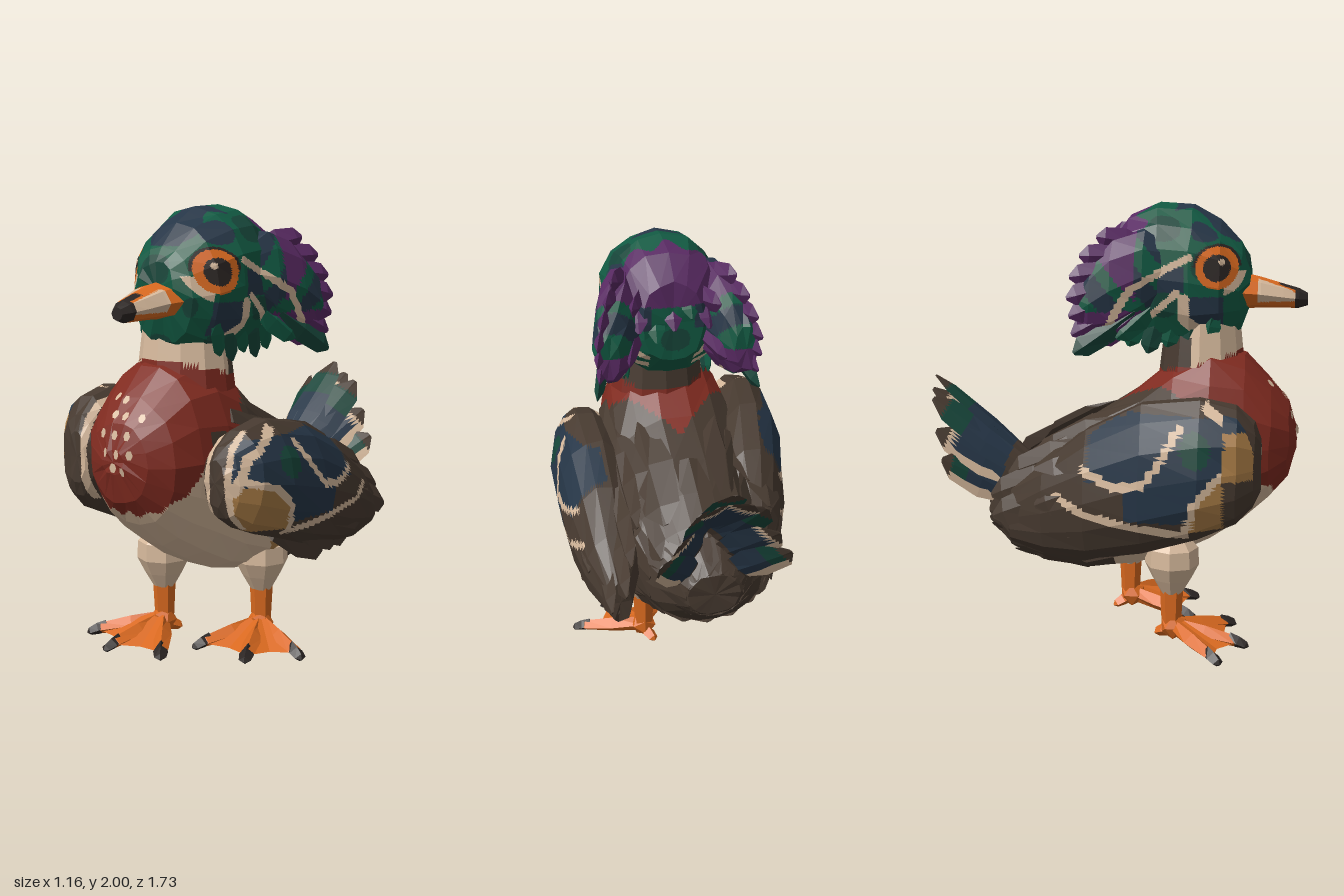
import * as THREE from 'three';

const MATS = Object.entries({ orange: 0xd9691f, green: 0x125a43, navy: 0x263647, brown: 0x473a30, purple: 0x592a63, red: 0x802b20,
  cream: 0xd6b99c, gold: 0xa87b45, charcoal: 0x2c2624, deepGreen: 0x17463a,
}).map(([name, color]) => Object.assign(new THREE.MeshStandardMaterial({ color }), { name }));
const [ORANGE, GREEN, NAVY, BROWN, PURPLE, RED, CREAM, GOLD, CHARCOAL, DEEP] = MATS.keys();
const V = (x, y, z) => new THREE.Vector3(x, y, z);
const group = (parent, name) => parent.add(Object.assign(new THREE.Group(), { name })).children.at(-1);
let seed = 7;
const rand = () => ((seed = (seed * 16807) % 2147483647) / 2147483647) - 0.5;

// Closed skin over elliptical sections [cx, cy, z, rx, ry] listed from front to back
function loft(st, seg, power = 1, jitter = 0) {
  const pos = [], idx = [], p = v => Math.sign(v) * Math.abs(v) ** power;
  for (const [cx, cy, z, rx, ry] of st) for (let i = 0; i < seg; i++) {
    const a = (i / seg) * Math.PI * 2;
    pos.push(cx + rx * p(Math.cos(a)) + rand() * jitter, cy + ry * p(Math.sin(a)) + rand() * jitter, z + rand() * jitter);
  }
  const end = st.length * seg, last = end - seg;
  pos.push(...st[0].slice(0, 3), ...st.at(-1).slice(0, 3));
  for (let i = 0; i < seg; i++) {
    const k = (i + 1) % seg;
    for (let j = 0; j < last; j += seg) idx.push(j + i, j + i + seg, j + k, j + k, j + i + seg, j + k + seg);
    idx.push(end, i, k, end + 1, last + k, last + i);
  }
  return new THREE.BufferGeometry().setAttribute('position', new THREE.Float32BufferAttribute(pos, 3)).setIndex(idx);
}

// Flat-faceted mesh; each facet is cut into 4^cuts pieces, coloured by rule(x, y, z)
function paint(parent, name, geo, rule, cuts = 0) {
  const at = (geo.index ? geo.toNonIndexed() : geo).attributes.position, bins = MATS.map(() => []);
  const add = (a, b, c, k) => {
    if (k > 0) {
      const [ab, bc, ca] = [[a, b], [b, c], [c, a]].map(([p, q]) => p.clone().lerp(q, 0.5));
      for (const tri of [[a, ab, ca], [ab, b, bc], [ca, bc, c], [ab, bc, ca]]) add(...tri, k - 1);
      return;
    }
    const m = typeof rule === 'number' ? rule : rule((a.x + b.x + c.x) / 3, (a.y + b.y + c.y) / 3, (a.z + b.z + c.z) / 3);
    for (const v of [a, b, c]) bins[m].push(v.x, v.y, v.z);
  };
  for (let i = 0; i < at.count; i += 3) add(...[0, 1, 2].map(k => V().fromBufferAttribute(at, i + k)), cuts);
  const g = new THREE.BufferGeometry().setAttribute('position', new THREE.Float32BufferAttribute(bins.flat(), 3));
  g.computeVertexNormals();
  let start = 0;
  const used = MATS.filter((_, m) => bins[m].length);
  bins.filter(b => b.length).forEach((b, i) => { g.addGroup(start, b.length / 3, i); start += b.length / 3; });
  const mesh = Object.assign(new THREE.Mesh(g, used.length > 1 ? used : used[0]), { name });
  parent.add(mesh);
  return mesh;
}

// Pointed feather between two points; up is the direction its flat face looks
function feather(parent, name, from, to, w, t, up, rule, cuts = 0) {
  const L = from.distanceTo(to), Z = from.clone().sub(to).normalize(), X = up.clone().cross(Z).normalize();
  const g = loft([[0, 0, 0, w * 0.5, t], [0, 0, -L * 0.45, w, t], [0, 0, -L * 0.85, w * 0.8, t * 0.7], [0, 0, -L, w * 0.15, 0.003]], 4);
  const mesh = paint(parent, name, g, rule, cuts);
  mesh.quaternion.setFromRotationMatrix(new THREE.Matrix4().makeBasis(X, Z.clone().cross(X), Z));
  mesh.position.copy(from);
}

// True when (u, v) lies within w of the polyline
const near = (u, v, pts, w) => pts.slice(1).some(([bu, bv], i) => {
  const [au, av] = pts[i], du = bu - au, dv = bv - av;
  const k = THREE.MathUtils.clamp(((u - au) * du + (v - av) * dv) / (du * du + dv * dv), 0, 1);
  return Math.hypot(u - au - du * k, v - av - dv * k) < w;
});

export function createModel() {
  seed = 7;
  const duck = Object.assign(new THREE.Group(), { name: 'duck' });
  // Body: red breast, cream belly, brown back
  const st = [[0.835, 0.9, 1.0, 0.06], [0.8, 0.77, 1.11, 0.16], [0.72, 0.66, 1.21, 0.24], [0.6, 0.55, 1.33, 0.29], [0.45, 0.45, 1.38, 0.33],
    [0.28, 0.37, 1.3, 0.35], [0.1, 0.32, 1.15, 0.37], [-0.1, 0.3, 1.02, 0.38], [-0.3, 0.32, 0.89, 0.34], [-0.46, 0.38, 0.78, 0.25],
    [-0.58, 0.48, 0.67, 0.12]].map(([z, lo, hi, w]) => [0, (lo + hi) / 2, z, w, (hi - lo) / 2]);
  const body = paint(duck, 'body', loft(st, 18, 0.93, 0.012), (x, y, z) => {
    const edge = (z > 0.55 ? Math.min(1.05, 0.72 + Math.max(0, 0.75 - z) * 1.1) : 1.05) + 0.015 * Math.sin(x * 70);
    if (y > edge && z > 0.02 + Math.abs(x) * 1.1) return RED;
    if (z < 0.03 + Math.max(0, y - 0.6) || y > 0.95) return BROWN;
    return Math.hypot(z - 0.07, (y - 0.52) * 0.7) < 0.06 ? GOLD : CREAM;
  }, 3);

  // Breast speckles laid on the surface
  body.updateMatrixWorld();
  const speckles = group(duck, 'breastSpeckles'), ray = new THREE.Raycaster();
  for (let i = 1; i < 14; i++) {
    const r = Math.floor(i / 3), x = -0.07 + (i % 3) * 0.065 + (r % 2) * 0.03 + rand() * 0.02;
    ray.set(V(x, 0.92 + r * 0.07 + rand() * 0.02, 2), V(0, 0, -1));
    const { point, face } = ray.intersectObject(body)[0], dot = paint(speckles, 'speckle', new THREE.CircleGeometry(0.022, 6), CREAM);
    dot.position.copy(point).addScaledVector(face.normal, 0.004);
    dot.lookAt(dot.position.clone().add(face.normal));
    dot.scale.x = 0.75;
  }

  // Rump feathers, and long mantle feathers closing the back to the wings
  const rump = group(duck, 'rumpFeathers');
  for (const j of [7, 8]) for (let i = 0; i < 14; i++) {
    const a = ((i + (j % 2) / 2) / 14) * Math.PI * 2, c = Math.cos(a), s = Math.sin(a);
    const on = (k, f) => V(st[k][3] * c * f, st[k][1] + st[k][4] * s * f, st[k][2]);
    feather(rump, 'rumpFeather', on(j, 0.99), on(j + 2, 1.08), 0.085, 0.014, V(c, s, 0.2), BROWN);
  }
  for (const s of [1, -1]) for (const [x, y, z, tx, ty, tz] of [[0.27, 1.12, 0.42, 0.27, 0.92, -0.2], [0.34, 1.04, 0.3, 0.33, 0.84, -0.32],
    [0.17, 1.1, 0.15, 0.17, 0.84, -0.38]]) feather(rump, 'mantleFeather', V(s * x, y, z), V(s * tx, ty, tz), 0.11, 0.035, V(s * 0.5, 1, 0.2), BROWN);

  // Neck
  paint(duck, 'neck', new THREE.CylinderGeometry(0.17, 0.2, 0.26, 12).scale(1.15, 1, 1).translate(0.03, 1.35, 0.4),
    (x, y, z) => (y < 1.25 + (z - 0.2) * 0.25 ? RED : z > 0.36 ? CREAM : BROWN), 3);

  // Head with painted eyes and face stripes
  const hx = 0.05, head = group(duck, 'head');
  const stripe1 = [[0.35, 1.77], [0.245, 1.72], [0.095, 1.63], [-0.02, 1.43]], stripe2 = [[0.3, 1.62], [0.19, 1.52], [0, 1.42], [-0.13, 1.36]];
  paint(head, 'skull', loft([[hx, 1.655, 0.61, 0.1, 0.11], [hx, 1.625, 0.57, 0.165, 0.2], [hx, 1.64, 0.48, 0.235, 0.28], [hx, 1.66, 0.35, 0.275, 0.325],
    [hx, 1.68, 0.2, 0.275, 0.32], [hx, 1.67, 0.07, 0.24, 0.28], [hx, 1.65, -0.02, 0.14, 0.18]], 16, 0.9, 0.014), (x, y, z) => {
    const dx = Math.abs(x - hx), e = Math.hypot(z - 0.47, y - 1.725);
    if (dx > 0.1) {
      if (Math.hypot(z - 0.49, y - 1.75) < 0.014) return CREAM;
      if (e < 0.058) return CHARCOAL;
      if (e < 0.092) return ORANGE;
      if (e < 0.103 && y > 1.73) return CHARCOAL;
      if (e < 0.125 && z > 0.5 && y < 1.71) return CREAM;
      if (near(z, y, [[0.4, 1.44], [0.33, 1.5], [0.33, 1.59]], 0.025) || near(z, y, stripe1, 0.016) || near(z, y, stripe2, 0.015)) return CREAM;
      if ((z > 0.35 && z < 0.5 && y < 1.6 && y > 1.46) || (z < 0.33 && y < 1.73 && y > 1.62)) return NAVY;
    }
    if (z < 0.13 + 0.03 * Math.sin(x * 40) && y > 1.72) return PURPLE;
    if (y > 1.83 && z > 0.28 && dx < 0.1 + 0.03 * Math.sin(z * 30)) return NAVY;
    const n = Math.sin(x * 15 + 1) * Math.sin(y * 19) * Math.sin(z * 16 + 1);
    return y > 1.8 && n > 0.3 ? NAVY : n < -0.35 ? DEEP : GREEN;
  }, 4);

  // Bill
  paint(head, 'bill', loft([[0.07, 1.57, 0.87, 0.03, 0.028], [0.065, 1.575, 0.83, 0.055, 0.045], [0.06, 1.585, 0.76, 0.08, 0.055],
    [hx, 1.6, 0.66, 0.11, 0.07], [hx, 1.61, 0.55, 0.145, 0.085]], 8), (x, y, z) => {
    const dx = Math.abs(x - 0.06);
    if (z > 0.81 || (z > 0.74 && dx < 0.03 && y > 1.58)) return CHARCOAL;
    return z > 0.65 && y > 1.565 && dx > 0.045 ? CREAM : ORANGE;
  }, 3);

  // Crest: a lobe of swept feathers on each side, jaw tufts and a tuft on the nape
  for (const s of [1, -1]) {
    const lobe = group(head, s > 0 ? 'leftCrest' : 'rightCrest'), X = d => hx + s * d;
    paint(lobe, 'crestLobe', loft([[X(0.19), 1.72, 0.28, 0.06, 0.1], [X(0.21), 1.69, 0.15, 0.1, 0.21], [X(0.245), 1.63, 0.02, 0.11, 0.22],
      [X(0.285), 1.58, -0.08, 0.085, 0.17], [X(0.31), 1.54, -0.13, 0.05, 0.1]], 10, 1, 0.015), (x, y, z) => {
      if ((x - hx) * s > 0.22 && (near(z, y, stripe1, 0.016) || near(z, y, stripe2, 0.015))) return CREAM;
      if ((z < 0.12 && y > 1.72 - z * 1.2) || (z < 0.2 && y > 1.42 && y < 1.54)) return PURPLE;
      return y > 1.43 && Math.sin(z * 30 + y * 25) > 0 ? NAVY : GREEN;
    }, 3);
    for (const [x, y, z, m] of [[0.28, 1.86, -0.05, PURPLE], [0.32, 1.78, -0.12, PURPLE], [0.35, 1.69, -0.16, PURPLE], [0.37, 1.6, -0.17, PURPLE],
      [0.37, 1.52, -0.16, PURPLE], [0.2, 1.74, -0.09, PURPLE], [0.36, 1.44, -0.15, PURPLE], [0.37, 1.36, -0.14, DEEP], [0.22, 1.5, -0.12, PURPLE],
      [0.33, 1.4, -0.04, PURPLE], [0.31, 1.42, 0.04, GREEN]])
      feather(lobe, 'crestFeather', V(X(x - 0.1), y * 0.55 + 0.79, z * 0.5 + 0.18), V(X(x), y, z), 0.06, 0.03, V(s, 0.1, 0.3), m);
    for (let i = 0; i < 5; i++) feather(lobe, 'jawFeather', V(X(0.2), 1.55, 0.46 - i * 0.08), V(X(0.19), 1.37 - (i % 2) * 0.03, 0.42 - i * 0.085),
      0.05, 0.02, V(s, 0, 0), i % 2 ? DEEP : GREEN);
  }
  for (let i = -2; i <= 2; i++) feather(head, 'napeFeather', V(hx + i * 0.07, 1.92 - Math.abs(i) * 0.02, 0.13),
    V(hx + i * 0.08, 1.62 - (i % 2) * 0.05, -0.05), 0.05, 0.02, V(i * 0.2, 0.4, -1), i % 2 ? GREEN : PURPLE);

  // Wings: the right one is held fuller, further forward and closer to the tail
  const bars = [[[0.6, 0.83], [0.55, 0.98], [0.38, 1.08]], [[0.56, 0.88], [0.43, 0.84], [0.34, 0.75], [0.3, 0.62]],
    [[0.27, 1.01], [0.18, 0.88], [0.12, 0.81], [-0.02, 0.79], [-0.15, 0.84]], [[0.3, 0.62], [0.05, 0.65], [-0.15, 0.68], [-0.28, 0.73]]];
  for (const s of [1, -1]) {
    const wing = group(duck, s > 0 ? 'leftWing' : 'rightWing'), [dy, dz, sy] = s > 0 ? [0, 0, 1] : [0.03, 0.07, 1.22];
    const X = (x, z) => s * (x - (s < 0 ? Math.max(0, 0.25 - z) * 0.22 : 0));
    paint(wing, 'wing', loft([[0.36, 0.87, 0.615, 0.05, 0.1], [0.375, 0.87, 0.585, 0.095, 0.155], [0.395, 0.87, 0.51, 0.145, 0.215], [0.4, 0.85, 0.35, 0.175, 0.26],
      [0.4, 0.79, 0.1, 0.18, 0.28], [0.4, 0.7, -0.15, 0.17, 0.25], [0.41, 0.62, -0.35, 0.12, 0.18], [0.41, 0.56, -0.52, 0.05, 0.1],
    ].map(([x, y, z, a, b]) => [X(x, z), y + dy, z + dz, a, b * sy]), 14, 1, 0.012), (x, y0, z0) => {
      const z = z0 - dz, y = 0.83 + (y0 - dy - 0.83) / sy, out = Math.abs(x);
      if (z > 0.38 && y > 0.7 && Math.abs(out - 0.32) < 0.015) return CREAM;
      if (s > 0 && z > 0.5 && Math.abs(out - 0.425) < 0.014) return CREAM;
      if (s < 0 && z > 0.46) return out < 0.47 || y < 0.83 ? BROWN : y < 1 ? GOLD : NAVY;
      if (out < 0.42 && (z > 0.48 || out < 0.38)) return BROWN;
      if (bars.some(l => near(z, y, l, 0.016))) return CREAM;
      if (y > 1.05) return BROWN;
      if (z > 0.32 && y < 0.86 && y < 0.84 - (0.43 - z) * 0.8) return y > 0.64 ? GOLD : BROWN;
      if (Math.hypot(z - 0.34, y - 0.94) < 0.065) return DEEP;
      return (z > -0.13 && y > 0.8 && y < 1.03) || (z > 0.04 && y > 0.67) ? NAVY : BROWN;
    }, 3);
    for (const [x, y, z] of [[0.3, 0.84, -0.38], [0.36, 0.74, -0.54], [0.4, 0.64, -0.62], [0.46, 0.56, -0.6], [0.42, 0.5, -0.52], [0.37, 0.42, -0.4],
      [0.33, 0.38, -0.25], [0.52, 0.65, -0.38], [0.51, 0.55, -0.3], [0.44, 0.46, -0.2]])
      feather(wing, 'flightFeather', V(X(x - 0.01, z + 0.4), y + 0.17 + dy, z + 0.4 + dz), V(X(x, z), y + dy, z + dz), 0.08, 0.03, V(s, 0.4, 0), BROWN);
  }

  // Tail: feathers fanned into an upturned cup
  const tail = group(duck, 'tail');
  for (let i = -4; i <= 4; i++) {
    const t = i / 4, w = 0.09, from = V(0.07 * t, 0.78 - 0.15 * t * t, -0.37 - 0.12 * t * t);
    const to = V(0.28 * t, 1.19 - 0.34 * t * t - (i % 2 ? 0.03 : 0), -0.86 + 0.1 * t * t), L = from.distanceTo(to);
    feather(tail, 'tailFeather', from, to, w, 0.014, from.clone().sub(to).cross(V(0.28, -0.68 * t, 0.2 * t)), (x, y, z) => {
      const u = -z / L;
      if (u < 0.25 || u > 0.87) return BROWN;
      if ((Math.abs(i) > 2 && x * i > 0 && Math.abs(x) > w * 0.45) || (u > 0.81 && i % 2)) return CREAM;
      return u > 0.68 && i % 2 === 0 ? DEEP : NAVY;
    }, 2);
  }

  // Legs and webbed feet; the web rim alternates toe tips with scalloped valleys
  for (const [s, x, z, toes] of [[1, 0.19, 0.05, [-0.4, 0.42, 1.15]], [-1, -0.2, 0.29, [-0.85, -0.15, 0.65]]]) {
    const leg = group(duck, s > 0 ? 'leftLeg' : 'rightLeg'), dir = (a, r, y) => V(Math.sin(a) * r, y, Math.cos(a) * r);
    leg.position.set(x, 0, z);
    const profile = [[0.05, 0.24], [0.09, 0.31], [0.125, 0.38], [0.12, 0.46], [0.06, 0.53], [0.001, 0.55]].map(p => new THREE.Vector2(...p));
    paint(leg, 'thigh', new THREE.LatheGeometry(profile, 8), CREAM);
    paint(leg, 'shank', new THREE.CylinderGeometry(0.055, 0.045, 0.2, 6).translate(0, 0.18, 0), ORANGE);
    paint(leg, 'ankle', new THREE.IcosahedronGeometry(0.065, 0).translate(0, 0.075, 0.01), ORANGE);
    const rim = toes.flatMap((a, i) => [...(i ? [dir((a + toes[i - 1]) / 2, 0.25, 0.02)] : []), dir(a, 0.31, 0.025)]);
    const web = rim.slice(1).flatMap((p, i) => [V(0, 0.12, 0.01), rim[i], p, V(0, 0.008, -0.02), p, rim[i]]);
    paint(leg, 'web', new THREE.BufferGeometry().setFromPoints(web), ORANGE);
    for (const a of toes) {
      feather(leg, 'toe', dir(a, 0, 0.075), dir(a, 0.35, 0.025), 0.042, 0.038, V(0, 1, 0), ORANGE);
      feather(leg, 'claw', dir(a, 0.27, 0.045), dir(a, 0.365, 0.012), 0.034, 0.028, V(0, 1, 0), CHARCOAL);
    }
    feather(leg, 'hindToe', V(0, 0.06, 0), V(-s * 0.04, 0.02, -0.08), 0.032, 0.03, V(0, 1, 0), ORANGE);
  }
  return duck;
}
